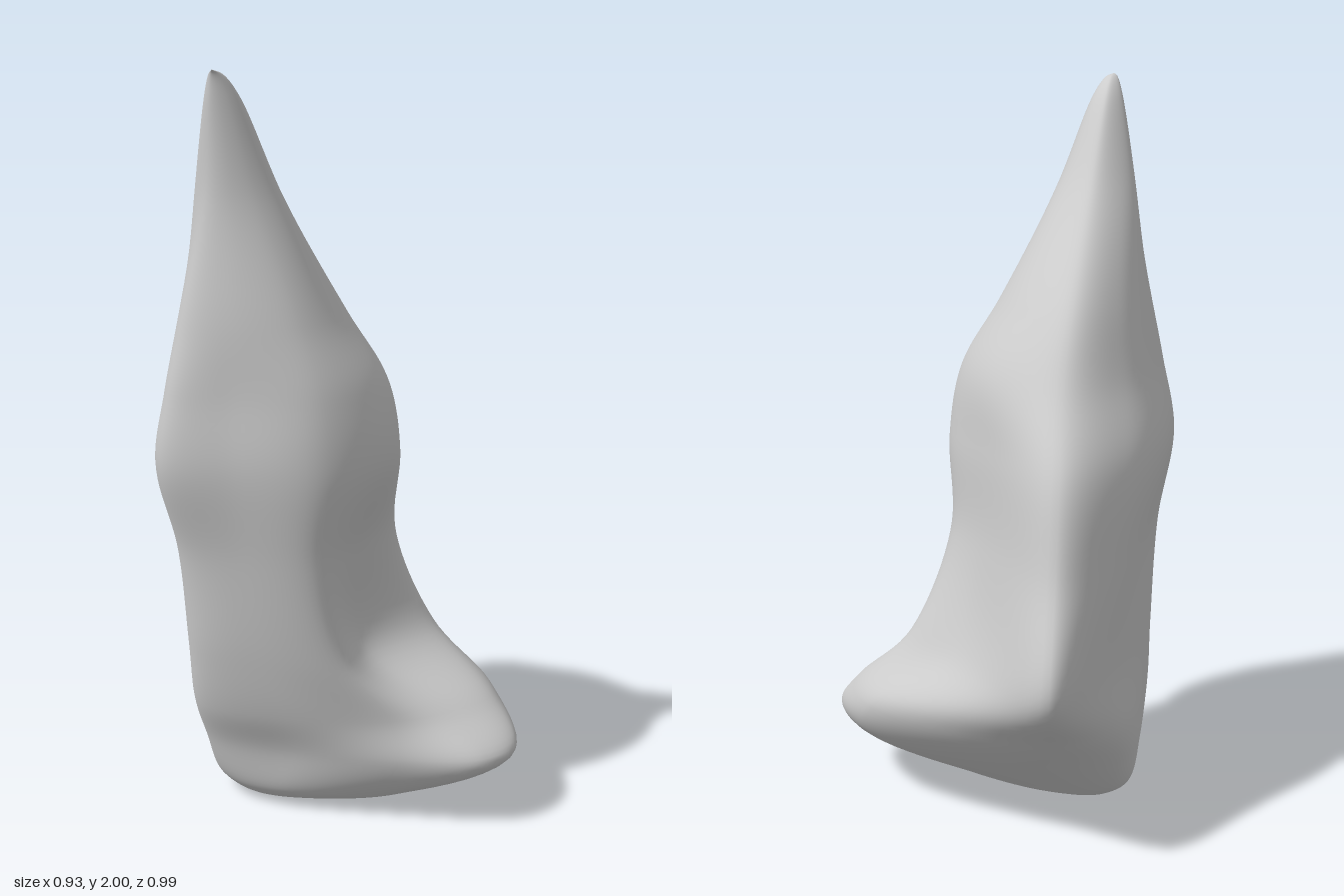
import * as THREE from 'three';
import { mergeVertices } from 'three/addons/utils/BufferGeometryUtils.js';

const AROUND = 90, ALONG = 120;

// Smooth closed horizontal section from x, z pairs, starting at the left
// and running past the front, right and back
function section(y, ...xz) {
  const points = [];
  for (let i = 0; i < xz.length; i += 2) points.push(new THREE.Vector3(xz[i], y, xz[i + 1]));
  const curve = new THREE.CatmullRomCurve3(points, true);
  return Array.from({ length: AROUND }, (_, i) => curve.getPoint(i / AROUND));
}

// A section shrunk towards a pole, to round off an end
function shrink(ring, pole, factor, y) {
  return ring.map((p) => pole.clone().lerp(p, factor).setY(y));
}

// Skin the sections with smooth lines running from base to tip
function loft(rings) {
  const positions = [], index = [];
  for (let i = 0; i < AROUND; i++) {
    const rail = new THREE.CatmullRomCurve3(rings.map((r) => r[i]));
    for (let j = 0; j <= ALONG; j++) positions.push(...rail.getPoint(j / ALONG).toArray());
  }
  const id = (i, j) => (i % AROUND) * (ALONG + 1) + j;
  for (let i = 0; i < AROUND; i++) {
    for (let j = 0; j < ALONG; j++) {
      const a = id(i, j), b = id(i + 1, j), c = id(i + 1, j + 1), d = id(i, j + 1);
      index.push(a, b, c, a, c, d);
    }
  }
  let geometry = new THREE.BufferGeometry();
  geometry.setAttribute('position', new THREE.Float32BufferAttribute(positions, 3));
  geometry.setIndex(index);
  geometry = mergeVertices(geometry, 1e-5);
  geometry.computeVertexNormals();
  return geometry;
}

export function createModel() {
  const group = new THREE.Group();
  group.name = 'rock';

  const base = new THREE.Vector3(-0.23, 0, 0.1);
  const tip = new THREE.Vector3(-0.22, 2, 0.495);

  // Sloping underside and side spur, then the waist, shoulder and leaning peak
  const underside = section(0.06, -0.39, 0.08, -0.32, 0.165, -0.18, 0.2, 0.03, 0.18, 0.16, 0.13, 0.15, 0.06, 0.01, -0.01, -0.2, -0.03, -0.355, 0);
  const spur = section(0.2, -0.425, 0.06, -0.37, 0.2, -0.12, 0.245, 0.17, 0.245, 0.39, 0.195, 0.46, 0.075, 0.3, -0.13, -0.2, -0.205, -0.4, -0.11);
  const spurTop = section(0.32, -0.43, 0.06, -0.385, 0.25, -0.12, 0.295, 0.15, 0.245, 0.285, 0.15, 0.385, 0, 0.26, -0.205, -0.27, -0.33, -0.415, -0.19);
  const heel = section(0.5, -0.43, 0.03, -0.38, 0.3, -0.18, 0.345, 0.035, 0.305, 0.06, 0.16, 0.2, -0.06, 0.02, -0.23, -0.31, -0.49, -0.39, -0.28);
  const waist = section(0.78, -0.435, 0.06, -0.385, 0.35, -0.2, 0.4, -0.015, 0.37, 0.055, 0.22, 0.11, 0.02, -0.03, -0.16, -0.3, -0.405, -0.41, -0.23);
  const shoulder = section(1.03, -0.465, 0.18, -0.4, 0.435, -0.2, 0.45, 0.01, 0.405, 0.13, 0.25, 0.13, 0.07, -0.05, -0.15, -0.29, -0.335, -0.425, -0.14);
  const crown = section(1.22, -0.415, 0.24, -0.37, 0.445, -0.2, 0.45, 0, 0.41, 0.1, 0.28, 0.11, 0.12, -0.04, -0.1, -0.26, -0.2, -0.38, -0.02);
  const neck = section(1.4, -0.375, 0.28, -0.335, 0.435, -0.2, 0.455, -0.05, 0.41, 0.015, 0.31, 0.015, 0.17, -0.09, 0.01, -0.25, -0.07, -0.345, 0.07);
  const peak = section(1.7, -0.315, 0.37, -0.265, 0.435, -0.21, 0.445, -0.14, 0.42, -0.1, 0.37, -0.11, 0.31, -0.16, 0.25, -0.23, 0.22, -0.295, 0.29);

  const geometry = loft([
    shrink(underside, base, 0, 0),
    shrink(underside, base, 0.5, 0.015),
    underside, spur, spurTop, heel, waist, shoulder, crown, neck, peak,
    shrink(peak, tip, 0.38, 1.94),
    shrink(peak, tip, 0.15, 1.99),
    shrink(peak, tip, 0, 2),
  ]);

  const stone = new THREE.Mesh(geometry, new THREE.MeshStandardMaterial({ color: 0xcccccc }));
  stone.name = 'stone';
  group.add(stone);
  return group;
}
